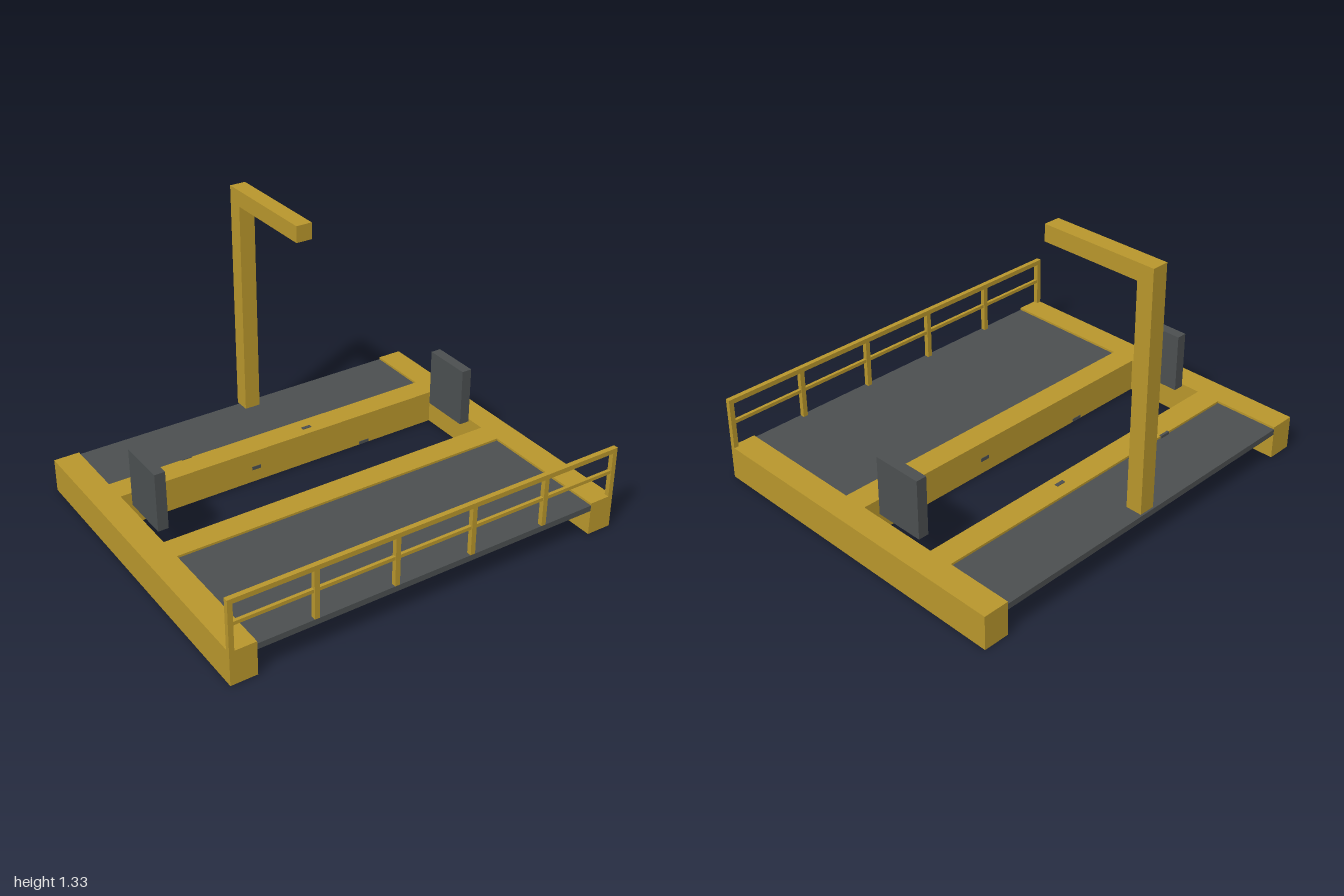
import * as THREE from 'three';

export function createModel() {
  const model = new THREE.Group();
  model.name = 'liftingPlatform';
  const yellow = new THREE.MeshStandardMaterial({ color: 0xb8962c });
  yellow.name = 'safety yellow';
  const grey = new THREE.MeshStandardMaterial({ color: 0x4b4f50 });
  grey.name = 'dark grey';

  // Box given by its lower and upper corners
  function box(name, material, [x0, y0, z0], [x1, y1, z1], parent = model) {
    const mesh = new THREE.Mesh(new THREE.BoxGeometry(x1 - x0, y1 - y0, z1 - z0), material);
    mesh.position.set((x0 + x1) / 2, (y0 + y1) / 2, (z0 + z1) / 2);
    mesh.name = name;
    parent.add(mesh);
    return mesh;
  }

  const top = 0.167;

  // Side beams and the upright panels beside the opening
  for (const [side, s] of [['left', 1], ['right', -1]]) {
    const span = (a, b) => [Math.min(s * a, s * b), Math.max(s * a, s * b)];
    const [b0, b1] = span(0.873, 1);
    box(side + 'SideBeam', yellow, [b0, 0, -0.83], [b1, top, 0.83]);
    const [p0, p1] = span(0.805, 0.857);
    box(side + 'UprightPanel', grey, [p0, top, -0.292], [p1, 0.46, -0.042]);
  }

  // Cross beams with small plates on their front and back faces
  for (const [name, z0, z1] of [['front', 0.04, 0.162], ['rear', -0.502, -0.38]]) {
    box(name + 'CrossBeam', yellow, [-0.873, 0, z0], [0.873, top, z1]);
    for (const [s, face] of [[1, z1], [-1, z0]]) {
      const plate = (x, y, w, h) => box(name + 'BeamPlate', grey,
        [x - w / 2, y - h / 2, face - 0.003], [x + w / 2, y + h / 2, face + 0.003]);
      plate(-0.16 * s, 0.075, 0.048, 0.018);
      plate(0.465 * s, 0.01, 0.055, 0.016);
    }
  }
  // Plates on the top of the rear cross beam
  box('topPlate', grey, [0.132, top - 0.003, -0.44], [0.18, top + 0.003, -0.422]);
  box('topEdgePlate', grey, [-0.498, top - 0.014, -0.508], [-0.443, top + 0.003, -0.496]);

  // Decks
  box('frontDeck', grey, [-0.873, 0.127, 0.162], [0.873, 0.156, 0.83]);
  box('rearDeck', grey, [-0.873, 0.127, -0.83], [0.873, 0.156, -0.502]);

  // Crane post and arm
  box('cranePost', yellow, [0, top, -0.83], [0.08, 1.253, -0.75]);
  box('craneArm', yellow, [0, 1.253, -0.83], [0.08, 1.333, -0.25]);

  // Front railing
  const railing = new THREE.Group();
  railing.name = 'frontRailing';
  model.add(railing);
  box('topRail', yellow, [-1, 0.396, 0.806], [1, 0.42, 0.83], railing);
  box('middleRail', yellow, [-0.98, 0.288, 0.81], [0.98, 0.305, 0.826], railing);
  for (let i = 0; i < 6; i++) {
    const x = -0.988 + i * 0.3952;
    const base = i === 0 || i === 5 ? top : 0.156;
    box('railPost', yellow, [x - 0.012, base, 0.806], [x + 0.012, 0.396, 0.83], railing);
  }
  return model;
}
